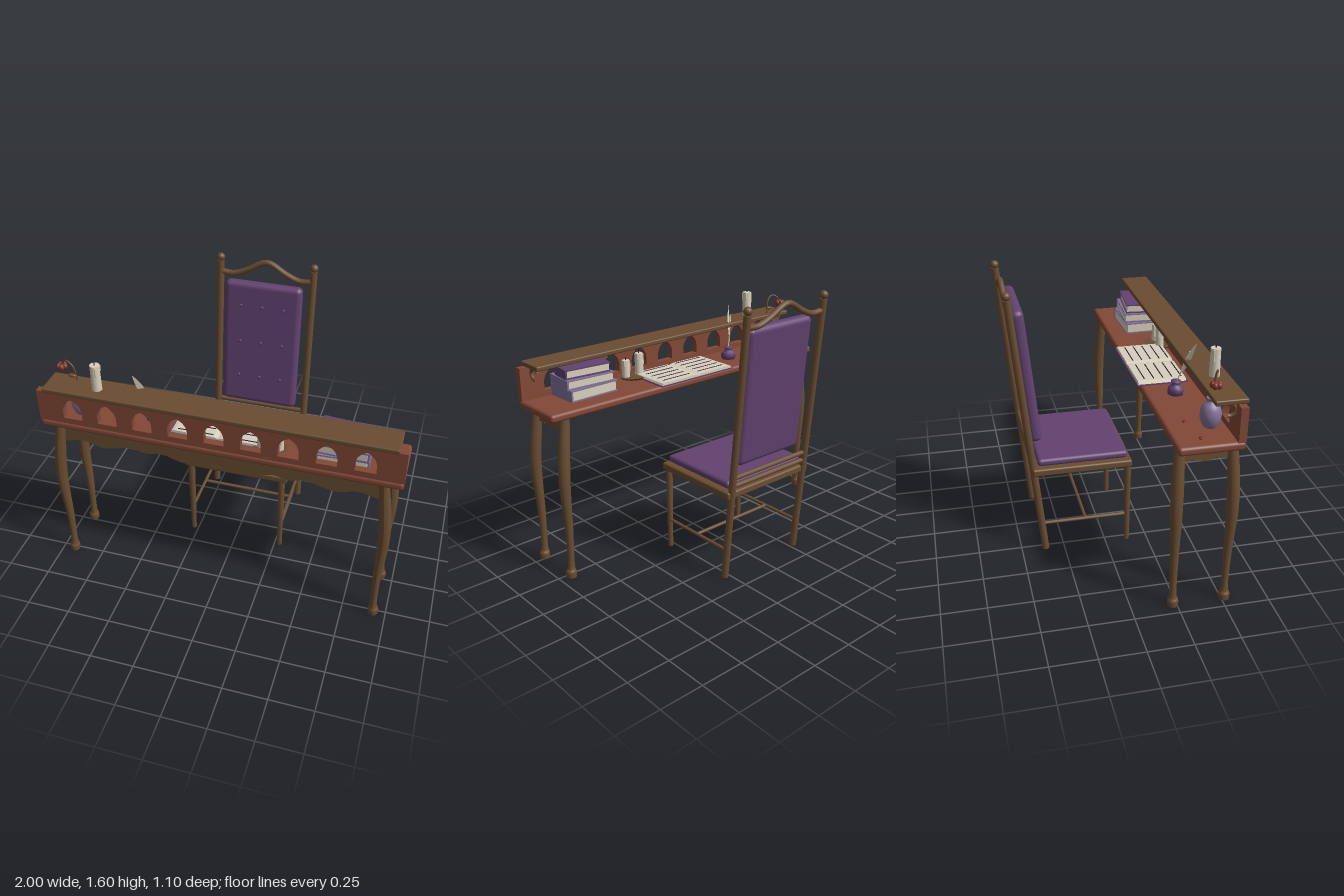
import * as THREE from 'three';
import { RoundedBoxGeometry } from 'three/addons/geometries/RoundedBoxGeometry.js';

const mat = (name, color, side = THREE.FrontSide) =>
  Object.assign(new THREE.MeshStandardMaterial({ color, side }), { name });

export function createModel() {
  const red = mat('red wood', 0x824836), brown = mat('brown wood', 0x6a4d32);
  const purple = mat('purple fabric', 0x624270), lilac = mat('lilac', 0x83739a);
  const cream = mat('cream', 0xd8d0bc, THREE.DoubleSide), ink = mat('dark ink', 0x35203a);
  const rose = mat('rose red', 0x7d3328);
  const root = new THREE.Group();
  const group = (name, parent = root) => {
    const g = new THREE.Group();
    g.name = name;
    parent.add(g);
    return g;
  };
  const add = (parent, name, geo, m, x = 0, y = 0, z = 0) => {
    const mesh = new THREE.Mesh(geo, m);
    mesh.name = name;
    mesh.position.set(x, y, z);
    parent.add(mesh);
    return mesh;
  };
  const box = (w, h, d) => new THREE.BoxGeometry(w, h, d);
  const soft = (w, h, d, r) => new RoundedBoxGeometry(w, h, d, 4, r);
  const cyl = (r1, r2, h, n = 16) => new THREE.CylinderGeometry(r1, r2, h, n);
  const vec = p => new THREE.Vector3(...p);
  const tube = (pts, r, n = 24) =>
    new THREE.TubeGeometry(new THREE.CatmullRomCurve3(pts.map(vec)), n, r, 10);
  const rod = (parent, name, a, b, r, m = brown) => {
    const p = vec(a), q = vec(b), d = q.clone().sub(p);
    const mesh = add(parent, name, cyl(r, r, d.length(), 12), m, ...p.clone().add(q).multiplyScalar(0.5));
    mesh.quaternion.setFromUnitVectors(new THREE.Vector3(0, 1, 0), d.normalize());
    return mesh;
  };
  const extrude = (shape, depth) =>
    new THREE.ExtrudeGeometry(shape, { depth, bevelEnabled: false, curveSegments: 10 });

  // ---- Desk ----
  const desk = group('desk');
  add(desk, 'deskTop', soft(2, 0.047, 0.345, 0.018), red, 0, 0.978, 0.37);

  // Front panel pierced by pointed arches
  const panel = new THREE.Shape([[-1, 1], [1, 1], [1, 1.19], [-1, 1.19]].map(p => new THREE.Vector2(...p)));
  for (let i = -4; i <= 4; i++) {
    const x = i * 0.2, h = new THREE.Path();
    h.moveTo(x - 0.055, 1.036);
    h.lineTo(x - 0.055, 1.085);
    h.quadraticCurveTo(x - 0.05, 1.138, x, 1.16);
    h.quadraticCurveTo(x + 0.05, 1.138, x + 0.055, 1.085);
    h.lineTo(x + 0.055, 1.036);
    h.closePath();
    panel.holes.push(h);
  }
  add(desk, 'archedPanel', extrude(panel, 0.04), red, 0, 0, 0.5);
  add(desk, 'shelf', soft(1.92, 0.028, 0.172, 0.008), brown, 0, 1.204, 0.469);

  // Scalloped aprons: a wavy lower edge under a straight top
  const apron = (pts, depth) => {
    const edge = new THREE.SplineCurve(pts.map(p => new THREE.Vector2(...p))).getPoints(72);
    const s = new THREE.Shape(edge);
    s.lineTo(pts[pts.length - 1][0], 0.957);
    s.lineTo(pts[0][0], 0.957);
    return extrude(s, depth);
  };
  const half = [[0.18, 0.845], [0.31, 0.878], [0.4, 0.862], [0.5, 0.878], [0.65, 0.845], [0.77, 0.872], [0.88, 0.848]];
  const frontEdge = [...half.map(([x, y]) => [-x, y]).reverse(), [0, 0.866], ...half];
  add(desk, 'frontApron', apron(frontEdge, 0.02), brown, 0, 0, 0.49);
  const sideEdge = [[-0.13, 0.868], [-0.06, 0.88], [0, 0.865], [0.06, 0.88], [0.13, 0.868]];

  // Bowed legs with flared feet: rows of y, outward x, outward z, radius
  const legRows = [[0, 0.928, 0, 0.029], [0.035, 0.928, 0, 0.03], [0.055, 0.926, 0, 0.022], [0.3, 0.925, 0.002, 0.023],
    [0.58, 0.935, 0.006, 0.032], [0.75, 0.925, 0.003, 0.033], [0.96, 0.9, -0.006, 0.027]];
  const legPath = new THREE.CatmullRomCurve3(legRows.map(r => new THREE.Vector3(r[1], r[0], r[2])));
  const legSize = new THREE.CatmullRomCurve3(legRows.map(r => new THREE.Vector3(r[3], r[0], 0)));
  const legGeo = (sx, sz) => {
    const g = new THREE.CylinderGeometry(1, 1, 1, 16, 36), p = g.attributes.position;
    for (let i = 0; i < p.count; i++) {
      const t = p.getY(i) + 0.5, c = legPath.getPoint(t), r = legSize.getPoint(t).x;
      p.setXYZ(i, sx * c.x + p.getX(i) * r, c.y, sz * c.z + p.getZ(i) * r);
    }
    g.computeVertexNormals();
    return g;
  };
  for (const s of [-1, 1]) {
    add(desk, 'frontDeskLeg', legGeo(s, 1), brown, 0, 0, 0.516);
    add(desk, 'backDeskLeg', legGeo(s, -1), brown, 0, 0, 0.227);
    add(desk, 'sideApron', apron(sideEdge, 0.02), brown, s * 0.9 - 0.01, 0, 0.37).rotation.y = Math.PI / 2;
    // Scroll bracket below the shelf
    const scroll = add(desk, 'scrollBracket', new THREE.TorusGeometry(0.033, 0.01, 8, 20, 4.6), brown, s * 0.93, 1.152, 0.465);
    scroll.rotation.set(0, Math.PI / 2, 0.4);
  }

  // ---- Chair ----
  const chair = group('chair');
  add(chair, 'seatFrame', soft(0.63, 0.045, 0.575, 0.012), brown, 0, 0.533, -0.137);
  add(chair, 'seatCushion', soft(0.575, 0.045, 0.52, 0.02), purple, 0, 0.58, -0.131);
  for (const s of [-1, 1]) {
    add(chair, 'frontChairLeg', cyl(0.021, 0.015, 0.52), brown, s * 0.28, 0.26, 0.13);
    rod(chair, 'sideStretcher', [s * 0.28, 0.177, 0.13], [s * 0.28, 0.177, -0.378], 0.01);
  }
  rod(chair, 'crossStretcher', [-0.28, 0.177, -0.12], [0.28, 0.177, -0.12], 0.01);

  // Reclined back: posts, rails and buttoned cushion
  const back = group('chairBack', chair);
  back.position.z = -0.36;
  back.rotation.x = -0.104;
  for (const s of [-1, 1]) {
    rod(back, 'backPost', [s * 0.28, 0.003, 0], [s * 0.28, 1.565, 0], 0.021);
    add(back, 'finial', new THREE.SphereGeometry(0.024, 16, 12), brown, s * 0.28, 1.585, 0);
  }
  const crest = [[-0.28, 1.5], [-0.2, 1.495], [-0.12, 1.525], [-0.02, 1.58], [0.02, 1.58], [0.12, 1.525], [0.2, 1.495], [0.28, 1.5]];
  add(back, 'crestRail', tube(crest.map(([x, y]) => [x, y, 0]), 0.017, 40), brown);
  for (const y of [0.64, 0.59]) rod(back, 'backRail', [-0.28, y, 0], [0.28, y, 0], 0.014);
  add(back, 'backCushion', soft(0.465, 0.79, 0.07, 0.032), purple, 0, 1.08, 0.046);
  for (const y of [1.33, 1.1, 0.87]) for (const x of [-0.13, 0, 0.13])
    add(back, 'cushionButton', new THREE.SphereGeometry(0.011, 10, 8), purple, x, y, 0.081).scale.z = 0.5;

  // ---- Stacked books: cover boards, spine toward +x, pages inside ----
  const books = [[0.655, 1, 0.405, 0.31, 0.068, 0.2, 0.03, lilac], [0.665, 1.068, 0.405, 0.3, 0.056, 0.19, -0.05, lilac],
    [0.67, 1.124, 0.39, 0.28, 0.055, 0.13, -0.09, purple]];
  for (const [x, y, z, w, h, d, a, m] of books) {
    const b = group('book');
    b.position.set(x, y, z);
    b.rotation.y = a;
    for (const yy of [0.004, h - 0.004]) add(b, 'bookCover', box(w, 0.008, d), m, 0, yy, 0);
    add(b, 'bookSpine', box(0.01, h, d), m, w / 2 - 0.005, h / 2, 0);
    add(b, 'bookPages', box(w - 0.02, h - 0.016, d - 0.014), cream, -0.004, h / 2, 0);
  }

  // ---- Open book with written lines ----
  const open = group('openBook');
  add(open, 'openCover', box(0.55, 0.006, 0.29), purple, 0, 1.004, 0.325);
  for (const s of [-1, 1]) {
    const page = new THREE.Shape([[0, 1.006], [s * 0.268, 1.006], [s * 0.262, 1.018], [s * 0.245, 1.022], [s * 0.025, 1.022], [0, 1.015]]
      .map(p => new THREE.Vector2(...p)));
    add(open, 'openPage', extrude(page, 0.275), cream, 0, 0, 0.187);
    for (let i = 0; i < 5; i++)
      add(open, 'writtenLine', box(0.2, 0.002, 0.006), ink, s * 0.132, 1.023, 0.23 + i * 0.053);
  }

  // ---- Candles ----
  const candle = (x, y, z, r, h) => {
    const c = group('candle');
    c.position.set(x, y, z);
    add(c, 'wax', cyl(r * 0.94, r, h, 20), cream, 0, h / 2, 0);
    add(c, 'wick', cyl(0.003, 0.003, 0.018, 6), ink, 0, h + 0.008, 0);
    for (const [a, l] of [[0.5, 0.05], [2.2, 0.03], [4.1, 0.06]])
      add(c, 'waxDrip', new THREE.CapsuleGeometry(0.005, l, 4, 8), cream,
        Math.sin(a) * r * 0.95, h - l / 2 - 0.008, Math.cos(a) * r * 0.95);
  };
  candle(-0.668, 1.218, 0.475, 0.028, 0.152);
  candle(0.238, 1.012, 0.45, 0.025, 0.13);
  candle(0.335, 1.012, 0.45, 0.023, 0.105);
  add(root, 'candleDish', cyl(0.09, 0.075, 0.014, 32), brown, 0.285, 1.008, 0.455);

  // ---- Inkwell and quill ----
  const well = group('inkwell');
  const wellPts = [[0, 0], [0.044, 0], [0.046, 0.03], [0.034, 0.046], [0.02, 0.052], [0.02, 0.064], [0.028, 0.068], [0.028, 0.078], [0.012, 0.08], [0, 0.08]];
  add(well, 'inkBottle', new THREE.LatheGeometry(wellPts.map(p => new THREE.Vector2(...p)), 8), purple, -0.4, 1, 0.36);
  rod(well, 'quillShaft', [-0.4, 1.06, 0.36], [-0.465, 1.27, 0.408], 0.003, cream);
  const feather = new THREE.Shape();
  feather.moveTo(0, 0);
  feather.quadraticCurveTo(-0.035, 0.06, -0.006, 0.215);
  feather.quadraticCurveTo(0.034, 0.1, 0, 0);
  const plume = add(well, 'quillFeather', new THREE.ShapeGeometry(feather), cream, -0.421, 1.125, 0.374);
  plume.rotation.set(0.2, 0.5, 0.26);

  // ---- Vase with a drooping flower ----
  const flower = group('vaseAndFlower');
  const vase = [[0, 0], [0.03, 0], [0.05, 0.035], [0.056, 0.075], [0.045, 0.115], [0.022, 0.14], [0.02, 0.15], [0.027, 0.162], [0.014, 0.163]];
  add(flower, 'vase', new THREE.LatheGeometry(new THREE.SplineCurve(vase.map(p => new THREE.Vector2(...p))).getPoints(30), 24),
    lilac, -0.8, 1, 0.42);
  add(flower, 'stem', tube([[-0.8, 1.15, 0.42], [-0.808, 1.24, 0.425], [-0.82, 1.305, 0.43], [-0.85, 1.33, 0.425], [-0.88, 1.318, 0.41], [-0.898, 1.288, 0.402]], 0.005), brown);
  const blob = (name, x, y, z, sx, sy, sz, m = rose) =>
    add(flower, name, new THREE.SphereGeometry(1, 12, 8), m, x, y, z).scale.set(sx, sy, sz);
  blob('bloom', -0.9, 1.276, 0.402, 0.02, 0.02, 0.02);
  for (let i = 0; i < 5; i++) {
    const a = i * Math.PI * 0.4;
    blob('petal', -0.9 + Math.cos(a) * 0.018, 1.278, 0.402 + Math.sin(a) * 0.018, 0.015, 0.018, 0.015);
  }
  blob('leaf', -0.83, 1.247, 0.43, 0.026, 0.01, 0.013, brown);
  blob('fallenPetal', -0.92, 1.006, 0.335, 0.017, 0.006, 0.012);
  blob('fallenPetal', -0.735, 1.006, 0.307, 0.017, 0.006, 0.014);

  return root;
}
